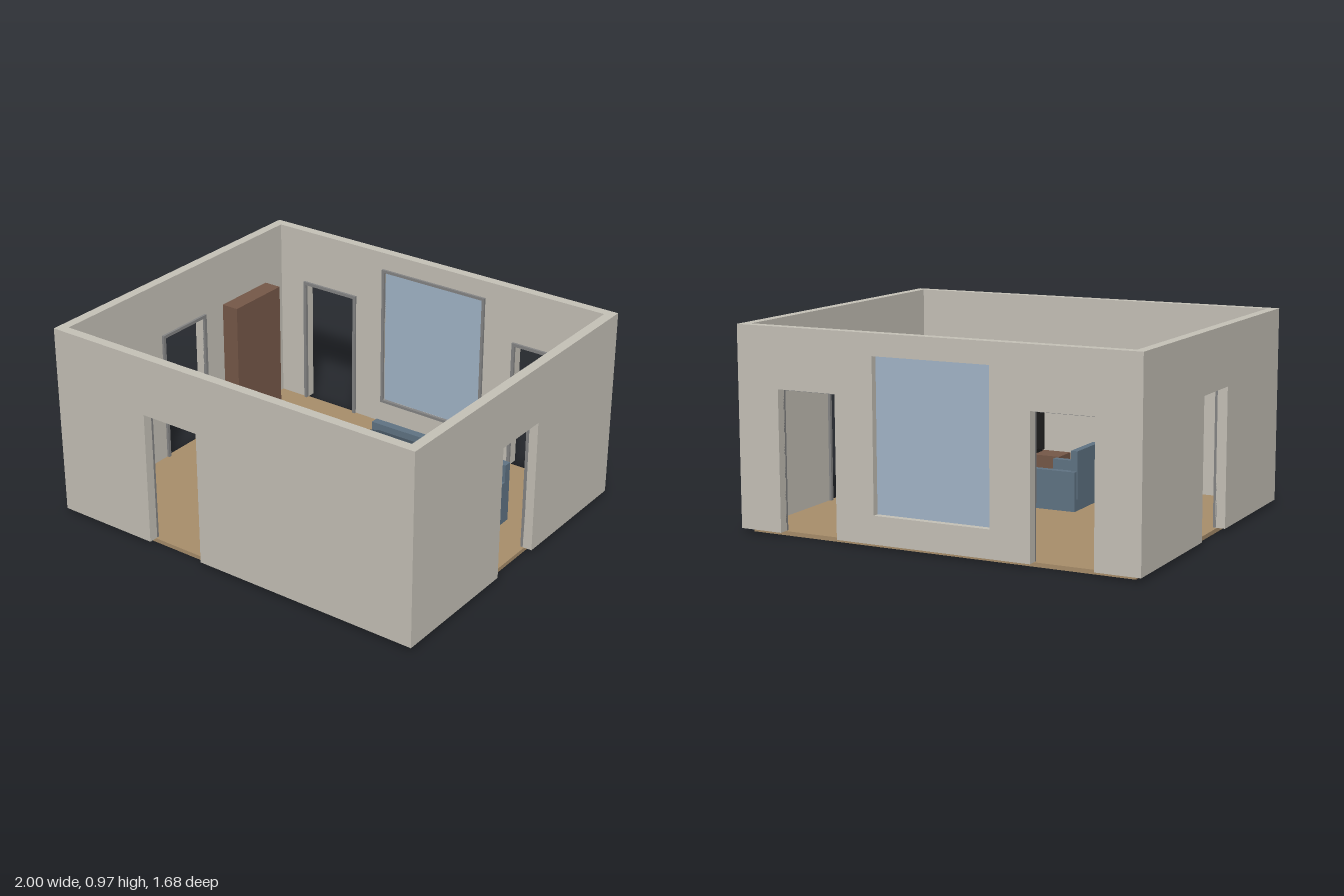
import * as THREE from 'three';

const mat = (color, side = THREE.FrontSide) =>
  new THREE.MeshStandardMaterial({ color, side });
const M = {
  wall: mat(0xc6c2b8), trim: mat(0x858585), floor: mat(0xa88e6b), glass: mat(0xa3b6c9),
  fabric: mat(0x607484), cushion: mat(0x4b5a68), table: mat(0x8c6551),
  cabinet: mat(0x765848), black: mat(0x1c1c1c),
};

// Box given by its min and max along each axis
function box(parent, name, material, x0, x1, y0, y1, z0, z1) {
  const mesh = new THREE.Mesh(new THREE.BoxGeometry(x1 - x0, y1 - y0, z1 - z0), material);
  mesh.position.set((x0 + x1) / 2, (y0 + y1) / 2, (z0 + z1) / 2);
  mesh.name = name;
  parent.add(mesh);
  return mesh;
}

function group(parent, name) {
  const g = new THREE.Group();
  g.name = name;
  parent.add(g);
  return g;
}

function polygon(points) {
  return new THREE.Shape(points.map(([x, y]) => new THREE.Vector2(x, y)));
}

const rect = (x0, x1, y0, y1) => [[x0, y0], [x1, y0], [x1, y1], [x0, y1]];

function extrude(parent, name, material, shape, depth, z) {
  const mesh = new THREE.Mesh(
    new THREE.ExtrudeGeometry(shape, { depth, bevelEnabled: false }), material);
  mesh.position.z = z;
  mesh.name = name;
  parent.add(mesh);
}

const BASE = 0.02, TOP = 0.97, DOOR = 0.685, THICK = 0.048;

// Wall in its own frame: outer face at z = 0, room on the +z side
function wall(parent, name, half, doors, windows = []) {
  const g = group(parent, name);
  const outline = [[-half, BASE]];
  for (const [a, b] of doors) outline.push([a, BASE], [a, DOOR], [b, DOOR], [b, BASE]);
  outline.push([half, BASE], [half, TOP], [-half, TOP]);
  const shape = polygon(outline);
  for (const w of windows) shape.holes.push(polygon(rect(...w)));
  extrude(g, name + 'Panel', M.wall, shape, THICK, 0);

  // Door trim on the room side
  for (const [a, b] of doors) {
    const t = 0.016, foot = 0.01, head = DOOR - 0.01;
    extrude(g, 'doorTrim', M.trim, polygon([
      [a - t, foot], [a, foot], [a, head], [b, head], [b, foot], [b + t, foot],
      [b + t, DOOR + 0.006], [a - t, DOOR + 0.006]]), 0.016, THICK - 0.004);
  }
  // Window trim and pane
  for (const [a, b, c, d] of windows) {
    const t = 0.014;
    const ring = polygon(rect(a - t, b + t, c - t, d + t));
    ring.holes.push(polygon(rect(a, b, c, d)));
    extrude(g, 'windowTrim', M.trim, ring, 0.016, THICK - 0.004);
    box(g, 'windowPane', M.glass, a, b, c, d, THICK - 0.015, THICK - 0.005);
  }
  return g;
}

export function createModel() {
  const model = new THREE.Group();
  model.name = 'room';

  box(model, 'floor', M.floor, -0.96, 0.96, 0, 0.02, -0.8, 0.8);

  // Four walls
  const back = wall(model, 'backWall', 1, [[-0.785, -0.485], [0.485, 0.785]],
    [[-0.29, 0.29, 0.152, 0.868]]);
  back.position.z = -0.84;
  const front = wall(model, 'frontWall', 1, [[0.165, 0.47]]);
  front.rotation.y = Math.PI;
  front.position.z = 0.84;
  for (const s of [-1, 1]) {
    const side = wall(model, s < 0 ? 'rightWall' : 'leftWall', 0.792, [[-0.147, 0.147]]);
    side.rotation.y = -s * Math.PI / 2;
    side.position.x = s;
  }

  // Sofa facing the television, turned very slightly
  const sofa = group(model, 'sofa');
  sofa.position.set(0.383, 0, -0.177);
  sofa.rotation.y = 0.01;
  box(sofa, 'sofaBase', M.fabric, -0.335, 0.335, 0.02, 0.09, -0.14, 0.138);
  box(sofa, 'sofaSeat', M.fabric, -0.335, 0.335, 0.09, 0.15, -0.1, 0.138);
  box(sofa, 'sofaBack', M.fabric, -0.38, 0.38, 0.02, 0.33, -0.141, -0.1);
  for (const s of [-1, 1]) {
    const x = s * 0.3575;
    box(sofa, 'sofaArm', M.fabric, x - 0.0225, x + 0.0225, 0.02, 0.24, -0.1, 0.14);
    const c = box(sofa, 'backCushion', M.cushion, s * 0.175 - 0.16, s * 0.175 + 0.16,
      0.157, 0.327, -0.067, 0.033);
    c.rotation.x = -0.45;
  }

  // Armchair facing +x
  const chair = group(model, 'armchair');
  box(chair, 'chairBase', M.fabric, -0.235, 0, 0.02, 0.08, 0.145, 0.425);
  box(chair, 'chairSeat', M.fabric, -0.21, -0.002, 0.08, 0.14, 0.175, 0.395);
  box(chair, 'chairBack', M.fabric, -0.243, -0.208, 0.08, 0.315, 0.16, 0.41);
  for (const z of [0.14, 0.395])
    box(chair, 'chairArm', M.fabric, -0.237, 0, 0.075, 0.215, z, z + 0.035);

  // Coffee table
  const table = group(model, 'coffeeTable');
  box(table, 'tableTop', M.table, 0.225, 0.575, 0.12, 0.145, 0.345, 0.535);
  for (const x of [0.235, 0.545])
    for (const z of [0.355, 0.505])
      box(table, 'tableLeg', M.table, x, x + 0.02, 0.02, 0.12, z, z + 0.02);

  // Low cabinet with television
  box(model, 'lowCabinet', M.cabinet, 0.09, 0.695, 0.02, 0.17, 0.655, 0.79);
  const tv = group(model, 'television');
  box(tv, 'screen', M.black, 0.21, 0.565, 0.187, 0.38, 0.72, 0.73);
  for (const x of [0.24, 0.535])
    extrude(tv, 'screenFoot', M.black, polygon(rect(x - 0.004, x + 0.004, 0.17, 0.19)), 0.07, 0.69);

  // Tall cupboard against the side wall
  box(model, 'cupboard', M.cabinet, -0.954, -0.86, 0.02, 0.69, -0.655, -0.305);

  return model;
}
